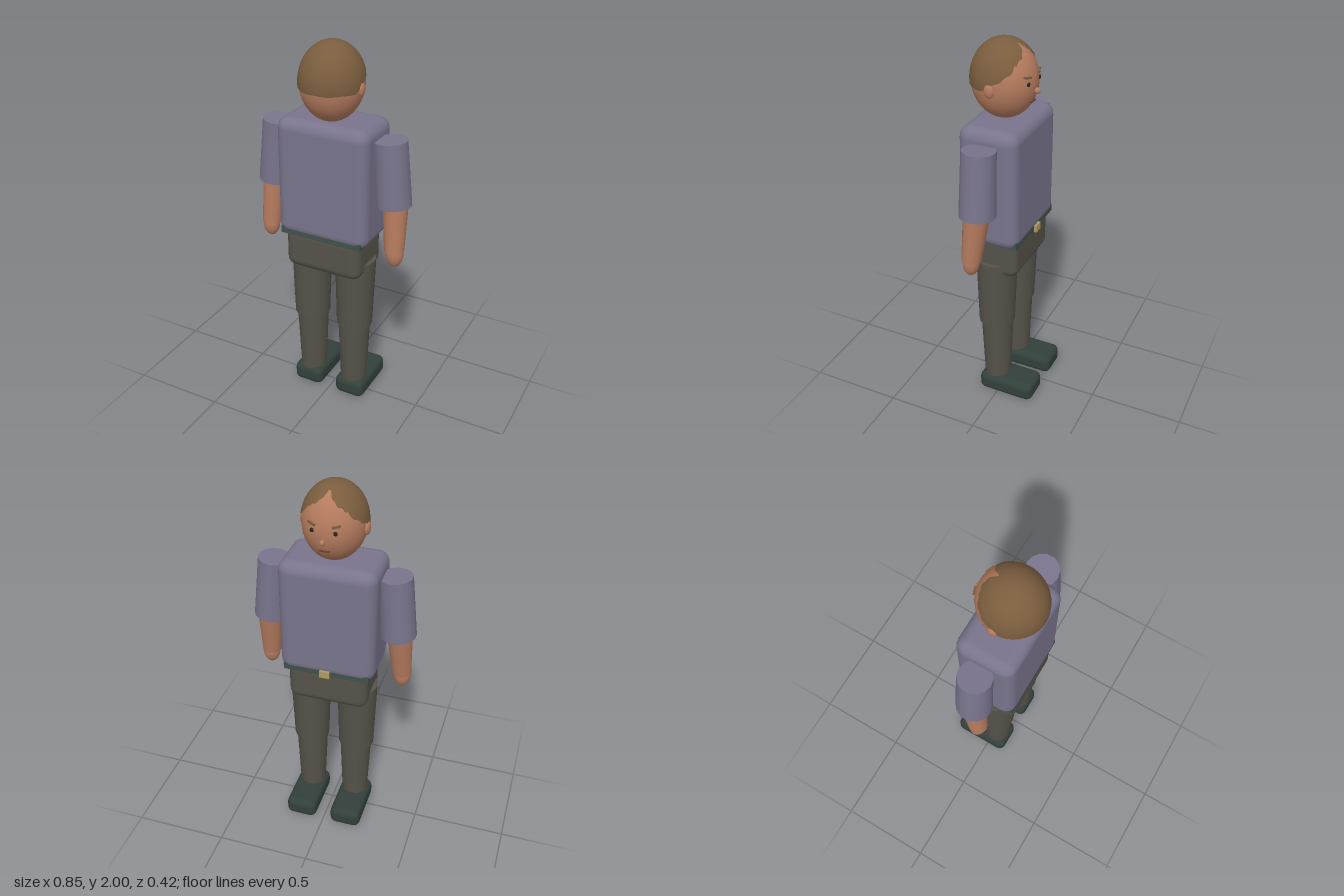
import * as THREE from 'three';
import { RoundedBoxGeometry } from 'three/addons/geometries/RoundedBoxGeometry.js';

const mat = (color, side = THREE.FrontSide) => new THREE.MeshStandardMaterial({ color, side });
const SKIN = mat(0xb57b5e), HAIR = mat(0x7a5d3e, THREE.DoubleSide), SHIRT = mat(0x79748c);
const TROUSERS = mat(0x555249), BELT = mat(0x40524a), SHOE = mat(0x32403b);
const BRASS = mat(0xb09a62), DARK = mat(0x2c231e), LIP = mat(0x6b3f34);

function add(parent, name, geometry, material, x, y, z) {
  const mesh = new THREE.Mesh(geometry, material);
  mesh.name = name;
  mesh.position.set(x, y, z);
  parent.add(mesh);
  return mesh;
}

const rounded = (w, h, d, r) => new RoundedBoxGeometry(w, h, d, 3, r);

function ball(parent, name, material, pos, radii, segments = 16) {
  const mesh = add(parent, name, new THREE.SphereGeometry(1, segments, segments), material, ...pos);
  mesh.scale.set(...radii);
  return mesh;
}

// Tapered cylinder running from one joint to the next
function limb(parent, name, material, top, bottom, rTop, rBottom, sides = 16) {
  const a = new THREE.Vector3(...top), b = new THREE.Vector3(...bottom);
  const axis = a.clone().sub(b);
  const geometry = new THREE.CylinderGeometry(rTop, rBottom, axis.length(), sides);
  const mesh = add(parent, name, geometry, material, 0, 0, 0);
  mesh.position.copy(a).add(b).multiplyScalar(0.5);
  mesh.quaternion.setFromUnitVectors(new THREE.Vector3(0, 1, 0), axis.normalize());
  return mesh;
}

// Hairline: [angle from the face, how far the hair reaches down from the crown]
const HAIRLINE = [
  [0, 0.4], [0.12, 0.44], [0.2, 0.68], [0.35, 0.74], [0.45, 0.9], [0.58, 0.88], [0.7, 1.02],
  [0.8, 1.02], [0.9, 1.22], [1.1, 1.27], [1.25, 1.42], [1.45, 1.46], [1.65, 1.62], [1.9, 1.7],
  [2.3, 1.68], [2.7, 1.7], [Math.PI, 1.68],
];
function hairLimit(angle) {
  const i = Math.max(1, HAIRLINE.findIndex(([a]) => a >= angle - 1e-6));
  const [a0, t0] = HAIRLINE[i - 1], [a1, t1] = HAIRLINE[i];
  return THREE.MathUtils.lerp(t0, t1, (angle - a0) / (a1 - a0));
}

// Unit cap cut along the hairline, its last row turned in to the scalp
function hairGeometry() {
  const geometry = new THREE.SphereGeometry(1, 72, 16);
  const { position, normal, uv } = geometry.attributes;
  for (let i = 0; i < position.count; i++) {
    const row = Math.floor(i / 73);
    const angle = ((i % 73) / 72 - 0.5) * Math.PI * 2;
    const theta = Math.min(row / 15, 1) * hairLimit(Math.min(Math.abs(angle), Math.PI));
    const p = new THREE.Vector3(
      -Math.sin(angle) * Math.sin(theta), Math.cos(theta), -Math.cos(angle) * Math.sin(theta));
    normal.setXYZ(i, p.x, p.y, p.z);
    if (row === 16) p.multiplyScalar(0.93);
    position.setXYZ(i, p.x, p.y, p.z);
  }
  return geometry;
}

function createHead() {
  const head = new THREE.Group();
  head.name = 'head';
  head.position.set(0, 1.8, 0.037);
  head.rotation.y = -0.045;

  const R = [0.158, 0.195, 0.166];
  ball(head, 'skull', SKIN, [0, 0, 0], R, 32);
  add(head, 'hair', hairGeometry(), HAIR, 0, 0, 0).scale.set(0.164, 0.2, 0.171);

  // Face parts sit on the skull surface, which faces -z
  const faceZ = (x, y) => -R[2] * Math.sqrt(1 - (x / R[0]) ** 2 - (y / R[1]) ** 2);
  for (const s of [-1, 1]) {
    ball(head, 'ear', SKIN, [s * 0.159, -0.015, 0], [0.015, 0.034, 0.026]);
    ball(head, 'eye', DARK, [s * 0.057, 0.012, faceZ(0.057, 0.012)], [0.011, 0.011, 0.007], 10);
    const brow = add(head, 'eyebrow', new THREE.BoxGeometry(0.042, 0.009, 0.012), HAIR,
      s * 0.06, 0.045, faceZ(0.06, 0.045) - 0.002);
    brow.rotation.set(0, -s * 0.38, s * 0.18);
  }
  ball(head, 'nose', SKIN, [0, -0.035, -0.172], [0.013, 0.015, 0.016], 12);
  add(head, 'mouth', new THREE.BoxGeometry(0.05, 0.007, 0.012), LIP, 0, -0.09, faceZ(0, -0.09));
  return head;
}

function createArm(s) {
  const arm = new THREE.Group();
  arm.name = s > 0 ? 'leftSideArm' : 'rightSideArm';
  limb(arm, 'sleeve', SHIRT, [s * 0.308, 1.555, 0.025], [s * 0.336, 1.22, 0.025], 0.084, 0.091, 14);
  limb(arm, 'forearm', SKIN, [s * 0.343, 1.25, 0.022], [s * 0.358, 0.975, 0.053], 0.066, 0.05);
  ball(arm, 'hand', SKIN, [s * 0.361, 0.965, 0.053], [0.046, 0.075, 0.042]);
  return arm;
}

function createLeg(s) {
  const leg = new THREE.Group();
  leg.name = s > 0 ? 'leftSideLeg' : 'rightSideLeg';
  limb(leg, 'thigh', TROUSERS, [s * 0.13, 0.867, 0.025], [s * 0.129, 0.465, 0.028], 0.108, 0.096);
  limb(leg, 'shin', TROUSERS, [s * 0.127, 0.48, 0.027], [s * 0.127, 0.08, 0.026], 0.087, 0.071);
  add(leg, 'shoe', rounded(0.172, 0.107, 0.315, 0.036), SHOE, s * 0.129, 0.0535, -0.052);
  return leg;
}

export function createModel() {
  const figure = new THREE.Group();
  figure.name = 'figure';

  // Trunk
  add(figure, 'torso', rounded(0.5, 0.635, 0.312, 0.06), SHIRT, 0, 1.303, 0.023);
  add(figure, 'belt', new THREE.BoxGeometry(0.45, 0.038, 0.303), BELT, 0, 1.014, 0.023);
  add(figure, 'buckle', new THREE.BoxGeometry(0.052, 0.038, 0.014), BRASS, 0, 1.016, -0.144);
  add(figure, 'hips', rounded(0.425, 0.23, 0.285, 0.05), TROUSERS, 0, 0.912, 0.026);

  figure.add(createHead());
  for (const s of [-1, 1]) figure.add(createArm(s), createLeg(s));
  return figure;
}
